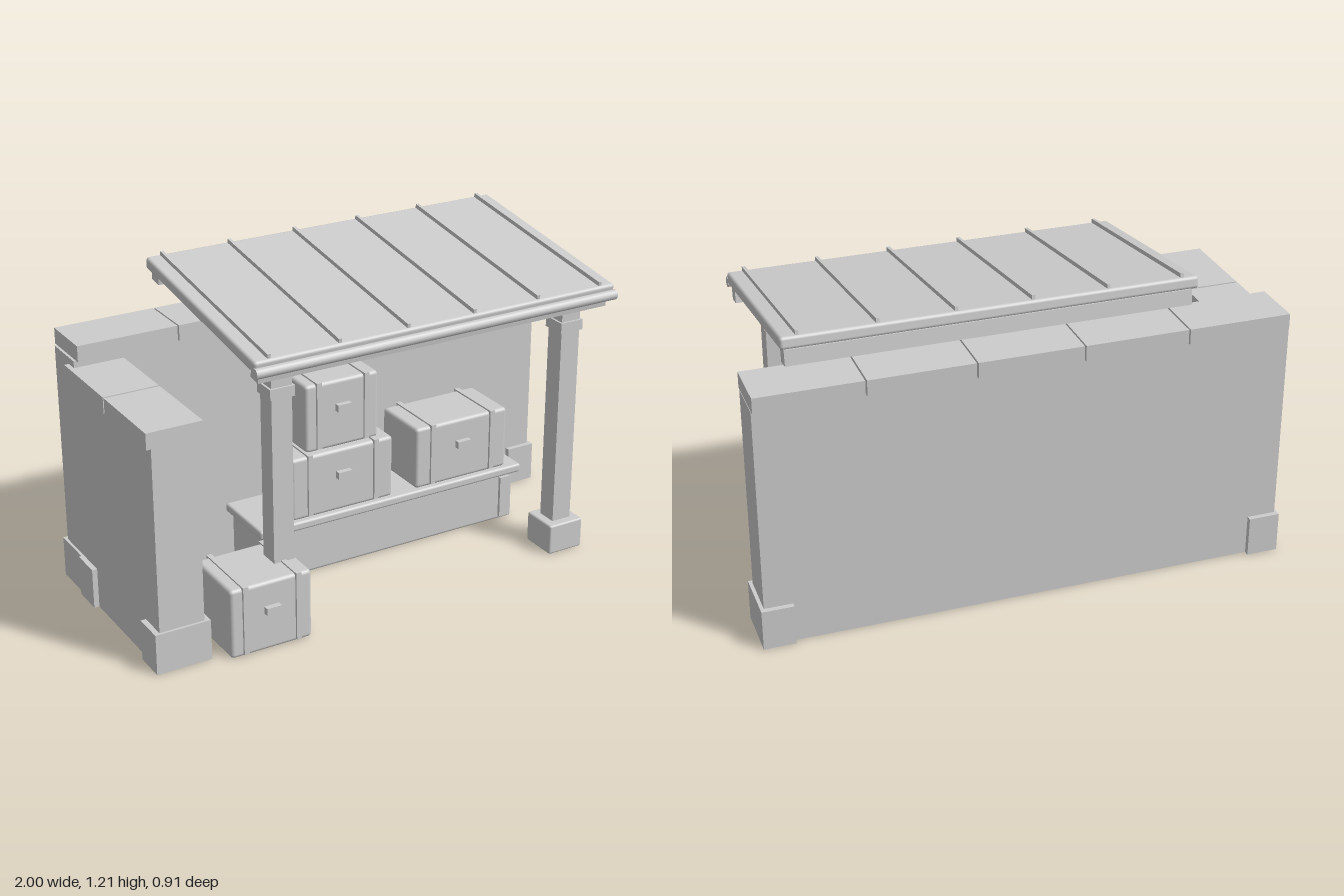
import * as THREE from 'three';
import { RoundedBoxGeometry } from 'three/addons/geometries/RoundedBoxGeometry.js';

const stone = new THREE.MeshStandardMaterial({ color: 0xcccccc });
stone.name = 'light grey';

// Box given by its extents; a radius above zero rounds the edges
function block(parent, name, [x0, x1], [y0, y1], [z0, z1], radius = 0) {
  const size = [x1 - x0, y1 - y0, z1 - z0];
  const geometry = radius
    ? new RoundedBoxGeometry(...size, 2, radius)
    : new THREE.BoxGeometry(...size);
  const mesh = new THREE.Mesh(geometry, stone);
  mesh.name = name;
  mesh.position.set((x0 + x1) / 2, (y0 + y1) / 2, (z0 + z1) / 2);
  parent.add(mesh);
  return mesh;
}

function group(parent, name) {
  const g = new THREE.Group();
  g.name = name;
  parent.add(g);
  return g;
}

// Walls with segmented coping and corner foot blocks
function addWalls(root) {
  const walls = group(root, 'walls');
  block(walls, 'backWall', [-0.98, 0.985], [0, 0.93], [-0.42, -0.25]);
  block(walls, 'sideWall', [-0.98, -0.81], [0, 0.845], [-0.25, 0.375]);

  const step = 0.392;
  for (let i = 0; i < 5; i++) {
    const x = -0.97 + i * step;
    block(walls, 'backCoping', [x, x + step - 0.006], [0.93, 0.99], [-0.44, -0.235]);
  }
  block(walls, 'sideCoping', [-0.998, -0.79], [0.845, 0.905], [-0.295, 0.038]);
  block(walls, 'sideCoping', [-0.998, -0.79], [0.845, 0.905], [0.046, 0.378]);

  const foot = [0, 0.155];
  block(walls, 'footBlock', [0.88, 0.998], foot, [-0.44, -0.23]);
  block(walls, 'footBlock', [-0.99, -0.87], foot, [-0.44, -0.23]);
  block(walls, 'footBlock', [-1, -0.79], foot, [-0.27, -0.15]);
  block(walls, 'footBlock', [-1, -0.79], foot, [0.265, 0.385]);
}

// Post with a foot and a collar
function addPost(root, x) {
  const post = group(root, 'post');
  const z = 0.285;
  const around = (c, half) => [c - half, c + half];
  block(post, 'postShaft', around(x, 0.04), [0, 1.005], around(z, 0.04));
  block(post, 'postFoot', around(x, 0.075), [0, 0.12], around(z, 0.075), 0.008);
  block(post, 'postCollar', around(x, 0.048), [0.895, 0.935], around(z, 0.048));
}

// Sloping roof, built flat about its centre and then tilted
function addRoof(root) {
  const roof = group(root, 'roof');
  roof.position.set(0.1375, 1.111, -0.025);
  roof.rotation.x = THREE.MathUtils.degToRad(8.1);
  block(roof, 'roofSlab', [-0.7425, 0.7425], [-0.0225, 0.0225], [-0.421, 0.421], 0.012);
  for (let i = 0; i < 6; i++) {
    const x = -0.6825 + i * 0.2726;
    block(roof, 'roofRib', [x - 0.006, x + 0.006], [0.015, 0.038], [-0.412, 0.41]);
  }
  block(roof, 'frontBeam', [-0.712, 0.732], [-0.076, -0.02], [0.345, 0.397]);
  block(roof, 'backBeam', [-0.712, 0.732], [-0.076, -0.02], [-0.425, -0.372]);

  const pole = new THREE.Mesh(new THREE.CylinderGeometry(0.019, 0.019, 1.485, 16), stone);
  pole.name = 'eavePole';
  pole.rotation.z = Math.PI / 2;
  pole.position.set(0.1375, 1.035, 0.395);
  root.add(pole);
}

// Low bench with a panel at each end of its front
function addBench(root) {
  const bench = group(root, 'bench');
  block(bench, 'benchBody', [-0.38, 0.73], [0, 0.198], [-0.25, 0.01], 0.012);
  block(bench, 'benchTop', [-0.405, 0.755], [0.195, 0.23], [-0.255, 0.03], 0.01);
  for (const x of [-0.36, 0.665]) {
    block(bench, 'benchPanel', [x, x + 0.045], [0.015, 0.185], [0, 0.022]);
  }
}

// Trunk with two straps and a latch
function addTrunk(root, [x0, x1], [y0, y1], [z0, z1]) {
  const trunk = group(root, 'trunk');
  const w = x1 - x0, h = y1 - y0, mid = (x0 + x1) / 2;
  block(trunk, 'trunkBody', [x0, x1], [y0, y1], [z0, z1], 0.014);
  for (const x of [x0 + w * 0.175, x1 - w * 0.175]) {
    const width = [x - 0.01, x + 0.01];
    block(trunk, 'strapFront', width, [y0 + 0.01, y1 + 0.006], [z1 - 0.01, z1 + 0.009]);
    block(trunk, 'strapTop', width, [y1 - 0.01, y1 + 0.006], [z0 - 0.003, z1 + 0.009]);
  }
  const latchY = y0 + h * 0.6;
  block(trunk, 'latch', [mid - 0.029, mid + 0.029], [latchY - 0.014, latchY + 0.014], [z1 - 0.005, z1 + 0.022]);
}

export function createModel() {
  const root = new THREE.Group();
  root.name = 'marketShelter';
  addWalls(root);
  addPost(root, -0.468);
  addPost(root, 0.74);
  addRoof(root);
  addBench(root);
  addTrunk(root, [-0.735, -0.415], [0, 0.268], [0.16, 0.427]);
  addTrunk(root, [-0.265, 0.17], [0.23, 0.48], [-0.23, 0.014]);
  addTrunk(root, [0.275, 0.69], [0.23, 0.48], [-0.23, 0.014]);
  addTrunk(root, [-0.19, 0.12], [0.48, 0.748], [-0.203, -0.011]);
  return root;
}
